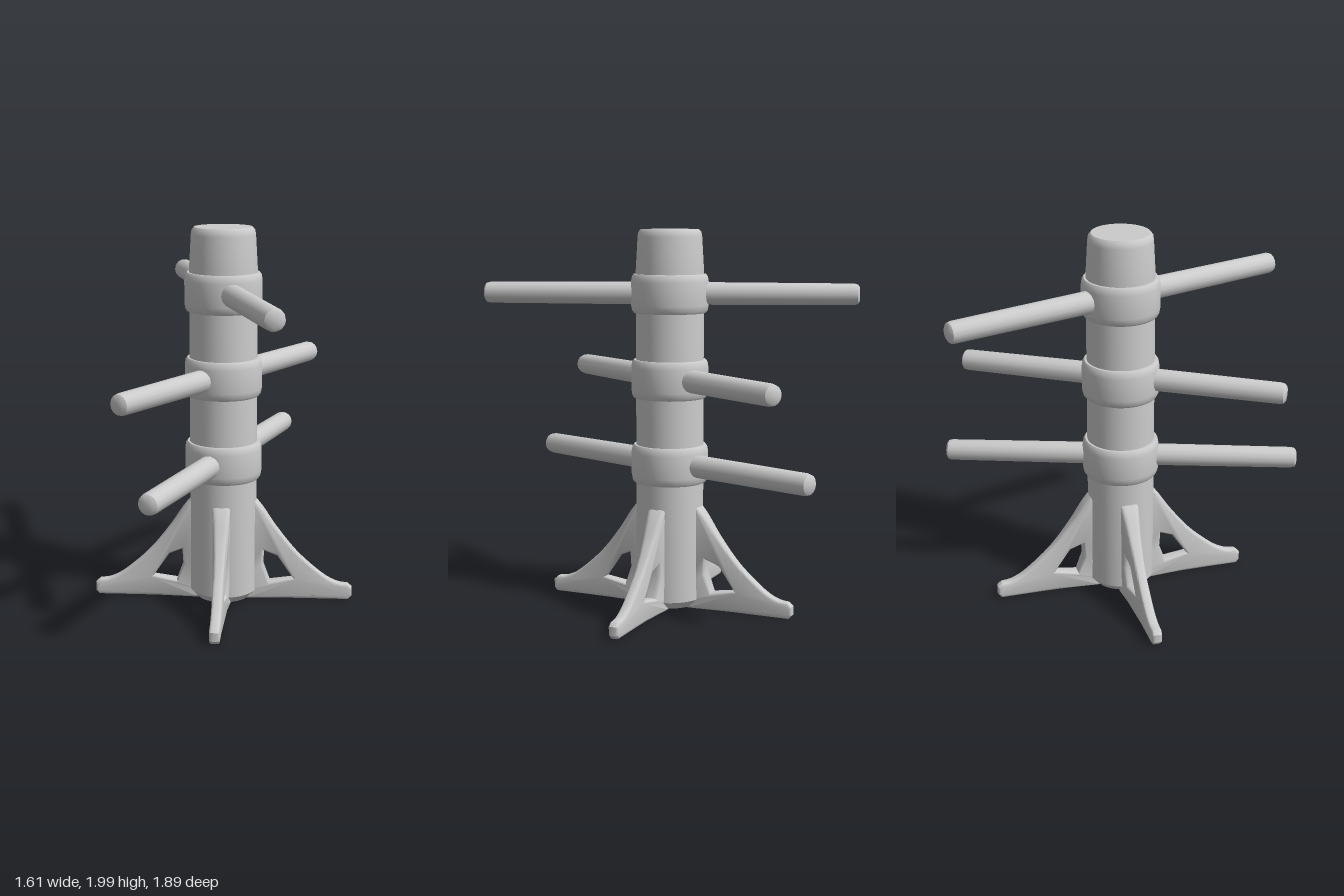
import * as THREE from 'three';
import { toCreasedNormals } from 'three/addons/utils/BufferGeometryUtils.js';

const material = new THREE.MeshStandardMaterial({ color: 0xcccccc });

function mesh(name, geometry, crease = 0.6) {
  const m = new THREE.Mesh(toCreasedNormals(geometry, crease), material);
  m.name = name;
  return m;
}

const lathe = (points, sides) =>
  new THREE.LatheGeometry(points.map(([r, y]) => new THREE.Vector2(r, y)), sides);

// Bar through the post: rounded ends, slightly thicker in the middle
function armGeometry(half) {
  const end = [[0.06, 0], [0.056, half - 0.03], [0.051, half - 0.01], [0.036, half], [0, half]];
  const start = end.slice(1).reverse().map(([r, y]) => [r, -y]);
  return lathe([...start, ...end], 14).rotateZ(-Math.PI / 2);
}

// Leg plate with a window, flared where it meets the post
function legGeometry() {
  const shape = new THREE.Shape();
  shape.moveTo(0, 0.01);
  for (const r of [0.15, 0.25, 0.35, 0.45, 0.55]) shape.lineTo(r, 0.01);
  shape.lineTo(0.675, 0.01);
  shape.lineTo(0.693, 0.03);
  shape.lineTo(0.693, 0.075);
  shape.lineTo(0.67, 0.095);
  shape.splineThru([[0.61, 0.105], [0.53, 0.15], [0.4, 0.265], [0.29, 0.4], [0.215, 0.51], [0.165, 0.57]]
    .map(([x, y]) => new THREE.Vector2(x, y)));
  shape.lineTo(0, 0.57);

  const hole = new THREE.Path();
  hole.setFromPoints([[0.215, 0.2], [0.22, 0.28], [0.29, 0.25], [0.375, 0.125], [0.25, 0.105]]
    .map(([x, y]) => new THREE.Vector2(x, y)));
  shape.holes.push(hole);

  const geo = new THREE.ExtrudeGeometry(shape, {
    depth: 0.026, curveSegments: 14, bevelEnabled: true,
    bevelThickness: 0.014, bevelSize: 0.014, bevelOffset: -0.014, bevelSegments: 3,
  }).translate(0, 0, -0.013);

  const p = geo.attributes.position;
  for (let i = 0; i < p.count; i++) {
    const t = THREE.MathUtils.clamp((0.42 - p.getX(i)) / 0.24, 0, 1);
    p.setZ(i, p.getZ(i) * (1 + 0.75 * t * t));
  }
  return geo;
}

export function createModel() {
  const model = new THREE.Group();

  // Central post with a narrowed, rounded head
  model.add(mesh('post', lathe([
    [0, 0.02], [0.14, 0.02], [0.177, 0.06], [0.177, 1.79], [0.174, 1.84],
    [0.167, 1.96], [0.163, 1.985], [0.15, 2], [0, 2],
  ], 32)));

  // Collars, each with a bar running through it
  const levels = [
    { name: 'upper', y: 1.67, x: 0.277, z: -0.937 },
    { name: 'middle', y: 1.227, x: 0.79, z: -0.36 },
    { name: 'lower', y: 0.78, x: 0.743, z: -0.56 },
  ];
  for (const { name, y, x, z } of levels) {
    const collar = mesh(name + 'Collar', lathe([
      [0.17, -0.1], [0.188, -0.1], [0.197, -0.088], [0.202, -0.06],
      [0.202, 0.06], [0.197, 0.088], [0.188, 0.1], [0.17, 0.1],
    ], 32));
    collar.position.y = y;
    const arm = mesh(name + 'Arms', armGeometry(Math.hypot(x, z)));
    arm.position.y = y;
    arm.rotation.y = Math.atan2(-z, x);
    model.add(collar, arm);
  }

  // Four legs crossing under the post
  const legs = new THREE.Group();
  legs.name = 'legs';
  for (let i = 0; i < 4; i++) {
    const leg = mesh('leg', legGeometry());
    leg.rotation.y = -0.594 + i * Math.PI / 2;
    legs.add(leg);
  }
  // Sit the feet on the ground
  legs.position.y = -0.002;
  model.add(legs);

  return model;
}
